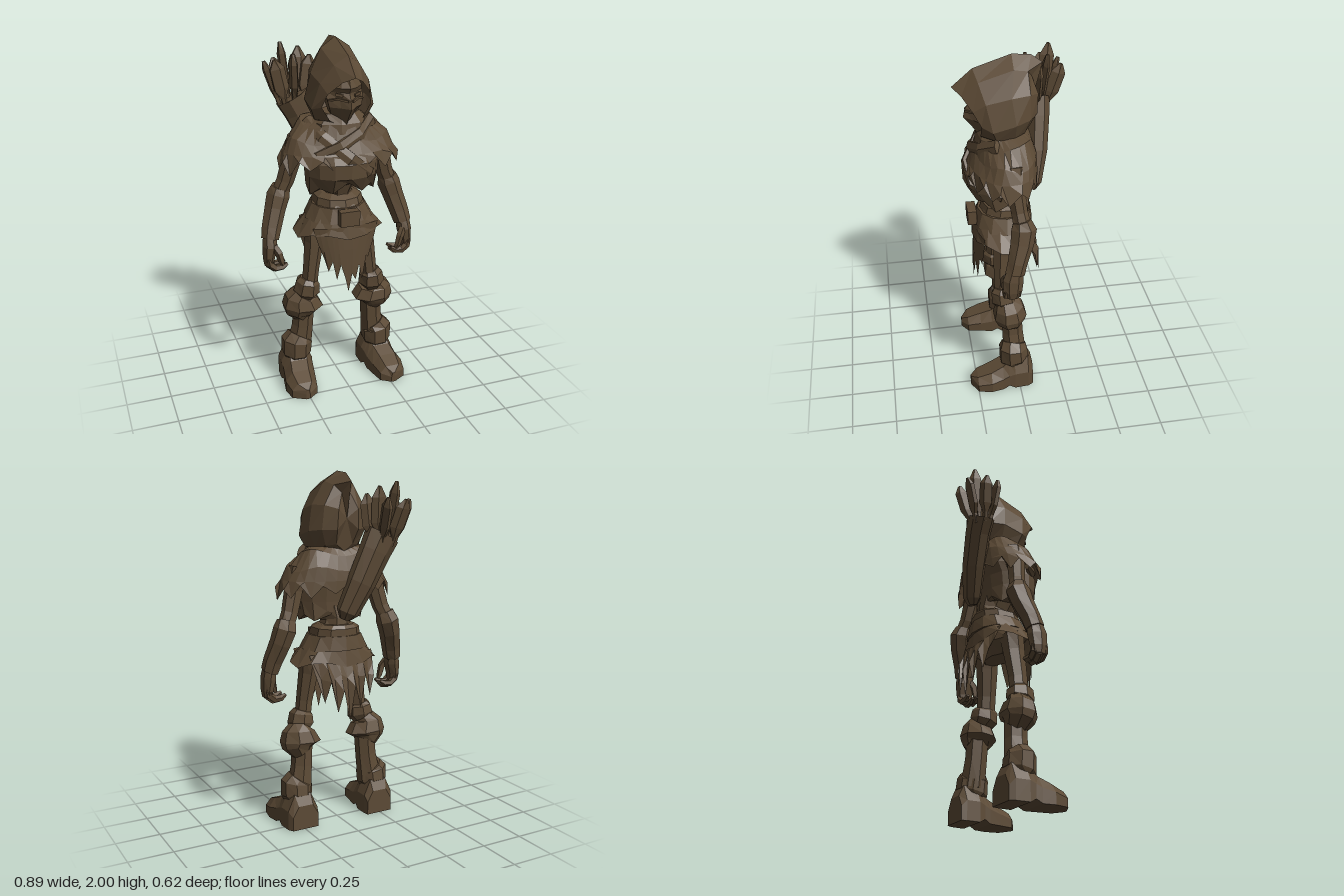
import * as THREE from 'three';

const V = (x, y, z) => new THREE.Vector3(x, y, z);

// Joins loops of points into a faceted skin; closed skins are turned outward.
function loft(loops, { closed = true, capStart = closed, capEnd = closed } = {}) {
  const tris = [], n = loops[0].length;
  for (let i = 0; i + 1 < loops.length; i++) {
    for (let j = 0; j < (closed ? n : n - 1); j++) {
      const k = (j + 1) % n, a = loops[i], b = loops[i + 1];
      tris.push([a[j], b[j], a[k]], [a[k], b[j], b[k]]);
    }
  }
  const cap = (loop, flip) => {
    const c = loop.reduce((s, p) => s.add(p), V(0, 0, 0)).divideScalar(n);
    loop.forEach((p, j) => tris.push(flip ? [c, loop[(j + 1) % n], p] : [c, p, loop[(j + 1) % n]]));
  };
  if (capStart) cap(loops[0], false);
  if (capEnd) cap(loops[loops.length - 1], true);
  const mid = loops.flat().reduce((s, p) => s.add(p), V(0, 0, 0)).divideScalar(n * loops.length);
  let volume = 0;
  for (const [a, b, c] of tris) {
    volume += a.clone().sub(mid).dot(b.clone().sub(mid).cross(c.clone().sub(mid)));
  }
  const pts = tris.flatMap(([a, b, c]) => (volume < 0 ? [a, c, b] : [a, b, c]));
  const g = new THREE.BufferGeometry().setFromPoints(pts);
  g.computeVertexNormals();
  return g;
}

// Horizontal ring, squarer behind; bump(angle, index) shifts each point's height.
const ring = (y, rx, zFront, zBack, n, bump = () => 0) => Array.from({ length: n }, (_, i) => {
  const a = (i / n) * Math.PI * 2 + Math.PI / 2, s = Math.sin(a);
  const depth = s < 0 ? -Math.pow(-s, 0.7) : s;
  return V(Math.cos(a) * rx, y + bump(a, i), (zFront + zBack) / 2 + depth * (zFront - zBack) / 2);
});

// Completes a half outline, first and last points on x = 0.
const mirrored = pts => [
  ...pts.map(p => V(...p)),
  ...pts.slice(1, -1).reverse().map(([x, y, z]) => V(-x, y, z)),
];

// Faceted limb through sections [x, y, z, radius, depth radius].
function limb(sections, n = 7) {
  const c = sections.map(s => V(s[0], s[1], s[2]));
  return loft(sections.map(([, , , r, d = r], i) => {
    const t = c[Math.min(i + 1, c.length - 1)].clone().sub(c[Math.max(i - 1, 0)]).normalize();
    const u = V(0, 0, 1).cross(t).normalize(), v = t.clone().cross(u);
    return Array.from({ length: n }, (_, j) => {
      const a = ((j + 0.5) / n) * Math.PI * 2;
      return c[i].clone().addScaledVector(u, Math.cos(a) * r).addScaledVector(v, Math.sin(a) * d);
    });
  }));
}

// Torn hanging cloth ending in uneven points.
function rag(w0, w1, yTop, zTop, zLow, bow, tips) {
  const row = (w, z, y) => tips.map((tip, i) => {
    const u = (i / (tips.length - 1)) * 2 - 1;
    return V(u * w, y(tip), z - bow * u * u);
  });
  return loft([
    row(w0, zTop, () => yTop),
    row((w0 + w1) / 2, (zTop + zLow) / 2, t => yTop * 0.45 + Math.max(t, 0.76) * 0.55),
    row(w1, zLow, t => t),
  ], { closed: false });
}

export function createModel() {
  const model = new THREE.Group();
  const brown = new THREE.MeshStandardMaterial({ color: 0x5c4a35, flatShading: true, side: THREE.DoubleSide });
  brown.name = 'weathered brown';
  const add = (name, geometry, parent = model) => {
    const mesh = new THREE.Mesh(geometry, brown);
    mesh.name = name;
    parent.add(mesh);
    return mesh;
  };

  // Pointed hood, from the open front rim to the back tip
  add('hood', loft([
    [[0, 1.84, 0.31], [0.055, 1.81, 0.265], [0.115, 1.745, 0.215], [0.135, 1.67, 0.175], [0.09, 1.595, 0.175], [0, 1.54, 0.17]],
    [[0, 1.935, 0.2], [0.07, 1.885, 0.18], [0.135, 1.79, 0.15], [0.175, 1.65, 0.12], [0.15, 1.59, 0.1], [0, 1.53, 0.1]],
    [[0, 2, 0], [0.08, 1.945, 0], [0.145, 1.82, 0.02], [0.175, 1.68, 0], [0.135, 1.59, 0], [0, 1.55, 0]],
    [[0, 1.99, -0.1], [0.06, 1.925, -0.075], [0.12, 1.82, -0.08], [0.135, 1.69, -0.08], [0.1, 1.6, -0.055], [0, 1.56, -0.06]],
    [[0, 1.945, -0.16], [0.025, 1.885, -0.1], [0.06, 1.8, -0.13], [0.065, 1.69, -0.125], [0.05, 1.61, -0.085], [0, 1.57, -0.08]],
  ].map(mirrored), { capStart: false }));

  // Face with a beaked mask
  const faceRing = (y, w, zf, edge = 0.03) => mirrored([
    [0, y, zf], [w * 0.45, y, zf - edge], [w, y, zf - 0.09], [w * 0.8, y, 0.04], [0, y, 0.02],
  ]);
  add('face', loft([
    faceRing(1.57, 0.04, 0.185), faceRing(1.61, 0.065, 0.21), faceRing(1.665, 0.09, 0.255, 0.045),
    faceRing(1.71, 0.1, 0.245, 0.045), faceRing(1.745, 0.1, 0.225, 0.025), faceRing(1.77, 0.095, 0.24, 0.025),
    faceRing(1.85, 0.05, 0.2),
  ]));
  for (const s of [1, -1]) {
    const eye = add('eye', new THREE.BoxGeometry(0.04, 0.014, 0.009));
    eye.position.set(s * 0.05, 1.735, 0.208);
    eye.rotation.set(0, s * 0.45, s * 0.2);
    add('maskEdge', limb([[s * 0.012, 1.705, 0.242, 0.008], [s * 0.055, 1.715, 0.205, 0.008], [s * 0.095, 1.7, 0.16, 0.008]], 4));
  }

  // Chest tapering to a ragged lower edge, then the narrow waist
  const chestTear = (a, i) => (i % 2 ? -0.03 : 0.01) - 0.04 * Math.abs(Math.cos(a));
  add('chest', loft([
    ring(1.53, 0.15, 0.17, -0.08, 14), ring(1.43, 0.2, 0.235, -0.08, 14), ring(1.37, 0.205, 0.272, -0.06, 14),
    ring(1.29, 0.2, 0.268, -0.05, 14), ring(1.245, 0.19, 0.215, -0.045, 14, chestTear), ring(1.22, 0.1, 0.15, -0.04, 14),
  ]));
  add('waist', limb([[0, 1.27, 0.06, 0.12, 0.11], [0, 1.18, 0.035, 0.075, 0.1], [0, 1.1, 0.03, 0.11, 0.1]], 8));

  // Shoulder cape with a torn hem, longest over the arms
  const hem = (a, i) => [0.025, -0.04, 0.03, -0.02][i % 4] - (Math.abs(Math.cos(a)) > 0.85 ? 0.02 : 0);
  add('shoulderCape', loft([
    ring(1.6, 0.12, 0.16, -0.06, 28), ring(1.565, 0.205, 0.175, -0.1, 28, a => -0.02 * Math.sin(a * 3)),
    ring(1.48, 0.28, 0.205, -0.125, 28, a => 0.015 * Math.sin(a * 5)),
    ring(1.415, 0.31, 0.24, -0.13, 28), ring(1.365, 0.34, 0.258, -0.13, 28, hem),
  ], { capStart: false, capEnd: false }));
  add('neckScarf', limb([[0, 1.62, 0.06, 0.11, 0.1], [0, 1.57, 0.06, 0.165, 0.13], [0, 1.52, 0.06, 0.17, 0.14]], 9));
  add('scarfFold', limb([[0.17, 1.57, 0.1, 0.04, 0.02], [0.08, 1.51, 0.18, 0.04, 0.02], [-0.04, 1.46, 0.22, 0.04, 0.02],
    [-0.16, 1.41, 0.19, 0.035, 0.02], [-0.25, 1.39, 0.1, 0.02, 0.015]], 6));
  add('quiverStrap', limb([[-0.17, 1.58, 0.03, 0.03, 0.015], [-0.13, 1.51, 0.165, 0.035, 0.018], [0, 1.4, 0.257, 0.038, 0.018],
    [0.11, 1.31, 0.235, 0.035, 0.018], [0.19, 1.26, 0.08, 0.03, 0.015]], 6));

  // Belt, flared skirt and torn cloths
  add('beltLip', loft([ring(1.16, 0.1, 0.13, -0.085, 10), ring(1.14, 0.135, 0.17, -0.1, 10), ring(1.09, 0.145, 0.185, -0.1, 10)]));
  add('skirt', loft([
    ring(1.11, 0.13, 0.175, -0.09, 14), ring(1.04, 0.175, 0.21, -0.1, 14),
    ring(0.95, 0.258, 0.23, -0.115, 14, a => 0.02 * Math.sin(a * 4 - 1) - 0.005),
  ], { capStart: false, capEnd: false }));
  add('hips', limb([[0, 1.06, 0.04, 0.14, 0.1], [0, 0.96, 0.045, 0.19, 0.1], [0, 0.89, 0.05, 0.1, 0.07]], 8));
  add('belt', loft([ring(1.1, 0.15, 0.195, -0.105, 12), ring(1.02, 0.195, 0.22, -0.115, 12)]));
  add('buckle', new THREE.BoxGeometry(0.11, 0.085, 0.05)).position.set(0, 1.06, 0.228);
  add('frontCloth', rag(0.19, 0.13, 1, 0.215, 0.228, 0.04,
    [0.82, 0.74, 0.8, 0.69, 0.78, 0.71, 0.615, 0.72, 0.68, 0.77, 0.67, 0.82, 0.79]));
  add('backCloth', rag(0.2, 0.18, 1, -0.09, -0.155, -0.045,
    [0.86, 0.75, 0.87, 0.69, 0.82, 0.62, 0.8, 0.68, 0.86, 0.74, 0.86]));

  for (const s of [1, -1]) {
    const side = s > 0 ? 'left' : 'right';
    const arm = new THREE.Group(), leg = new THREE.Group();
    arm.name = side + 'Arm';
    leg.name = side + 'Leg';
    model.add(arm, leg);
    const part = (parent, name, sections, n) =>
      add(name, limb(sections.map(([x, ...rest]) => [x * s, ...rest]), n), parent);

    // Arm with a flared bracer
    part(arm, 'upperArm', [[0.22, 1.48, 0.02, 0.06], [0.258, 1.36, 0.02, 0.055, 0.05], [0.29, 1.24, 0.005, 0.05, 0.045], [0.33, 1.15, -0.01, 0.045, 0.05]]);
    part(arm, 'bracer', [[0.315, 1.2, -0.005, 0.055, 0.05], [0.328, 1.155, -0.013, 0.066, 0.07], [0.352, 1.08, 0, 0.06, 0.065],
      [0.383, 0.98, 0.03, 0.056, 0.055], [0.398, 0.92, 0.045, 0.05, 0.055]]);
    part(arm, 'palm', [[0.398, 0.94, 0.045, 0.038, 0.045], [0.403, 0.88, 0.055, 0.042, 0.058], [0.412, 0.81, 0.058, 0.032, 0.052], [0.41, 0.77, 0.058, 0.026, 0.042]]);
    for (let f = 0; f < 3; f++) {
      const z = 0.03 + f * 0.03, lift = f === 1 ? 0 : 0.012;
      part(arm, 'finger', [[0.417, 0.82, z, 0.019], [0.41, 0.77 + lift, z, 0.022], [0.38, 0.745 + lift, z, 0.021],
        [0.34, 0.748 + lift, z, 0.019], [0.312, 0.765 + lift, z, 0.01]], 5);
    }
    part(arm, 'thumb', [[0.385, 0.89, 0.085, 0.022], [0.363, 0.85, 0.1, 0.022], [0.35, 0.8, 0.1, 0.018], [0.34, 0.775, 0.098, 0.01]], 5);

    // Leg with knee guards
    part(leg, 'thigh', [[0.14, 0.98, 0.055, 0.07], [0.15, 0.88, 0.065, 0.055, 0.065], [0.172, 0.72, 0.075, 0.046, 0.055], [0.185, 0.6, 0.075, 0.045, 0.055]]);
    part(leg, 'kneeCuff', [[0.187, 0.66, 0.075, 0.05, 0.055], [0.192, 0.64, 0.075, 0.068, 0.075], [0.198, 0.585, 0.07, 0.078, 0.08], [0.202, 0.55, 0.055, 0.05, 0.06]]);
    part(leg, 'kneeFlare', [[0.21, 0.57, 0.06, 0.06, 0.07], [0.225, 0.545, 0.05, 0.095, 0.085], [0.215, 0.485, 0.045, 0.122, 0.1],
      [0.23, 0.455, 0.04, 0.095, 0.085], [0.212, 0.42, 0.03, 0.06, 0.062]], 8);
    part(leg, 'shin', [[0.207, 0.46, 0.035, 0.062, 0.062], [0.214, 0.35, 0.03, 0.063, 0.062], [0.235, 0.2, 0.02, 0.075, 0.068]]);
    part(leg, 'bootCuff', [[0.235, 0.275, 0.025, 0.07, 0.072], [0.25, 0.25, 0.03, 0.092, 0.085], [0.253, 0.175, 0.025, 0.088, 0.09], [0.254, 0.15, 0.01, 0.07, 0.07]], 8);

    // Boot with a blunt pointed toe; rows are z, middle x, half width, height, sole height
    const foot = [[-0.08, 0.245, 0.08, 0.14, 0], [-0.05, 0.25, 0.092, 0.2, 0], [0.03, 0.253, 0.095, 0.2, 0], [0.065, 0.256, 0.09, 0.175, 0.02],
      [0.1, 0.26, 0.09, 0.145, 0], [0.17, 0.272, 0.09, 0.115, 0], [0.25, 0.272, 0.075, 0.085, 0], [0.29, 0.265, 0.012, 0.06, 0]];
    add('boot', loft(foot.map(([z, x, w, h, y]) =>
      [[-1, y], [-1, h * 0.55], [-0.55, h], [0.55, h], [1, h * 0.55], [1, y]].map(([u, v]) => V(s * (x + u * w), v, z)))), leg);
  }

  // Slung quiver with leaf-shaped fletchings
  add('quiver', limb([[0.01, 1.2, -0.11, 0.035, 0.025], [0.0, 1.24, -0.12, 0.068, 0.048], [-0.07, 1.4, -0.148, 0.085, 0.062],
    [-0.145, 1.57, -0.165, 0.095, 0.066], [-0.19, 1.66, -0.168, 0.105, 0.072], [-0.185, 1.645, -0.168, 0.082, 0.052]], 8));
  const tips = [[-0.335, 1.85, -0.21], [-0.3, 1.87, -0.12], [-0.235, 1.945, -0.235], [-0.26, 1.85, -0.295],
    [-0.15, 1.86, -0.29], [-0.14, 1.92, -0.215], [-0.2, 1.9, -0.1], [-0.09, 1.88, -0.165]];
  tips.forEach(([x, y, z], i) => {
    const base = [-0.19 + (x + 0.21) * 0.5, 1.6, -0.168 + (z + 0.19) * 0.4];
    const at = t => [x, y, z].map((v, k) => base[k] + (v - base[k]) * t);
    const [wide, thin] = i % 2 ? [0.046, 0.02] : [0.024, 0.042];
    add('arrow', limb([[...at(0), 0.016], [...at(0.2), 0.016], [...at(0.4), wide, thin], [...at(0.82), wide, thin], [...at(1), 0.01]], 5));
  });
  return model;
}
